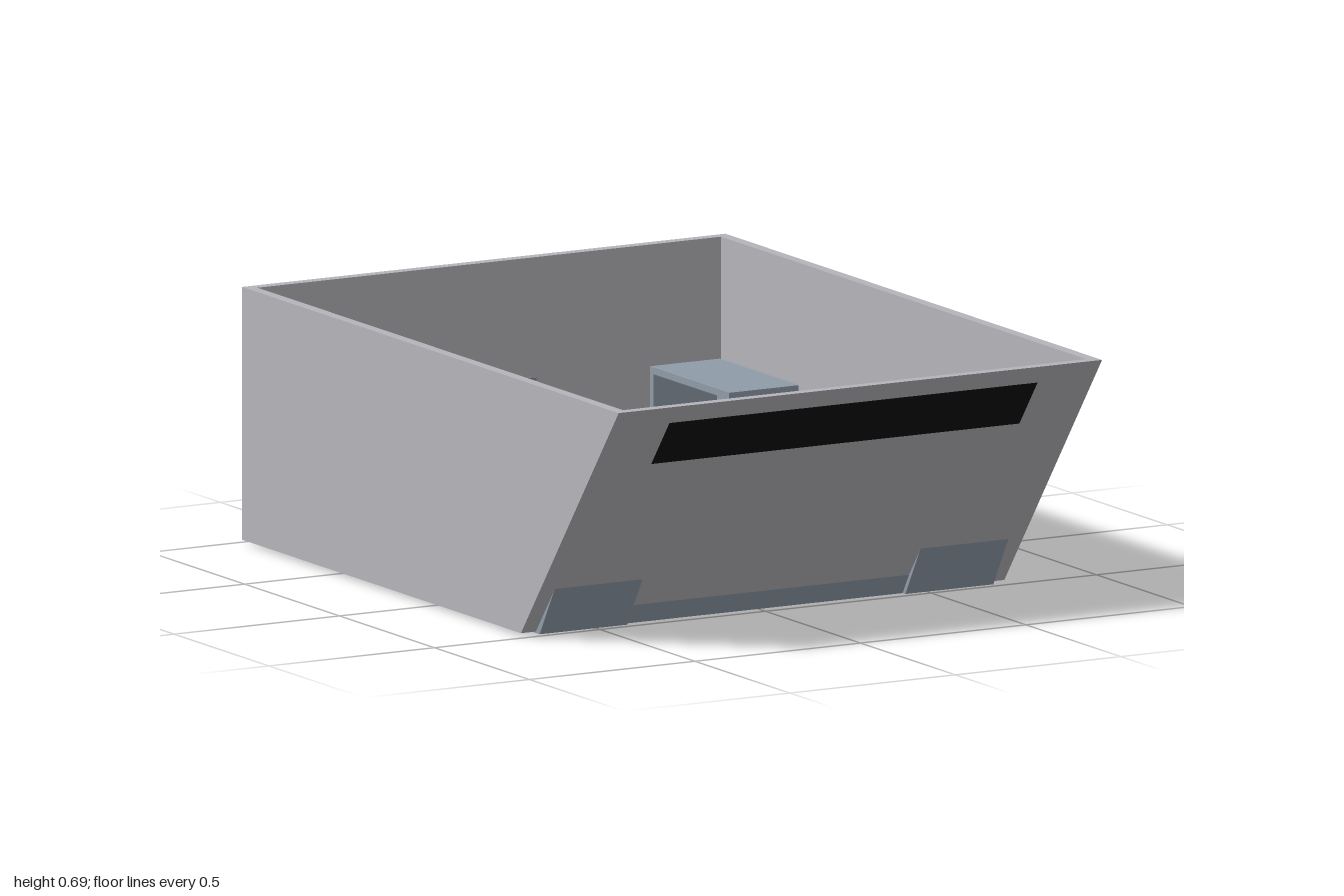
import * as THREE from 'three';
import { ConvexGeometry } from 'three/addons/geometries/ConvexGeometry.js';

const mat = (color) => new THREE.MeshStandardMaterial({ color, flatShading: true });
const WALL = mat(0xb4b4ba), LIGHT = mat(0xcccccc), DISC = mat(0xb8b8cc), DOOR = mat(0x8a8a8e);
const CONSOLE = mat(0x8f9ba8), BLACK = mat(0x0a0a0a), BLUE = mat(0x56a8e4), TEAL = mat(0x6aa8a8), BROWN = mat(0x7d6038);
const GOLD = new THREE.MeshStandardMaterial({ color: 0xc8b040 });
const FLOOR = 0.03;

function add(parent, name, geometry, material, x = 0, y = 0, z = 0) {
  const mesh = new THREE.Mesh(geometry, material);
  mesh.name = name;
  mesh.position.set(x, y, z);
  parent.add(mesh);
  return mesh;
}

function group(parent, name) {
  const g = new THREE.Group();
  g.name = name;
  parent.add(g);
  return g;
}

// box given by its limits on each axis
function block(parent, name, m, x0, x1, y0, y1, z0, z1) {
  return add(parent, name, new THREE.BoxGeometry(x1 - x0, y1 - y0, z1 - z0), m, (x0 + x1) / 2, (y0 + y1) / 2, (z0 + z1) / 2);
}

// [z, y] outline extruded across x
function prism(parent, name, m, outline, x0, x1) {
  const shape = new THREE.Shape(outline.map(([z, y]) => new THREE.Vector2(z, y)));
  const geo = new THREE.ExtrudeGeometry(shape, { depth: x1 - x0, bevelEnabled: false });
  geo.rotateY(-Math.PI / 2);
  return add(parent, name, geo, m, x1);
}

const hull = (points, s = 1) => new ConvexGeometry(points.map(([x, y, z]) => new THREE.Vector3(x * s, y, z)));

// straight limb between two points
function rod(parent, name, m, a, b, r0, r1, sides = 6) {
  const p = new THREE.Vector3(...a), q = new THREE.Vector3(...b), d = q.clone().sub(p);
  const mesh = add(parent, name, new THREE.CylinderGeometry(r1, r0, d.length(), sides), m);
  mesh.position.copy(p).add(q).multiplyScalar(0.5);
  mesh.quaternion.setFromUnitVectors(new THREE.Vector3(0, 1, 0), d.normalize());
  return mesh;
}

// front wall slope: z of the outer face at height y
const slopeZ = (y) => 0.485 + 0.763 * (y - 0.01);

function buildRoom(root) {
  const room = group(root, 'room');
  const top = 0.685, base = 0.01, t = 0.03;
  const side = [[-0.985, base], [slopeZ(base), base], [slopeZ(top), top], [-0.985, top]];
  prism(room, 'rightWall', WALL, side, -0.73, -0.70);
  prism(room, 'leftWall', WALL, side, 0.70, 0.73);
  block(room, 'backWall', WALL, -0.70, 0.70, base, top, -0.985, -0.955);
  const slab = (y0, y1, d0, d1) => [[slopeZ(y0) + d0, y0], [slopeZ(y0) + d1, y0], [slopeZ(y1) + d1, y1], [slopeZ(y1) + d0, y1]];
  prism(room, 'frontWall', WALL, slab(base, top, -t, 0), -0.70, 0.70);
  prism(room, 'windowInside', BLACK, slab(0.375, 0.64, -t - 0.006, -t + 0.01), -0.555, 0.555);
  prism(room, 'windowOutside', BLACK, slab(0.51, 0.635, -0.01, 0.003), -0.555, 0.555);
  block(room, 'floor', WALL, -0.70, 0.70, base + 0.002, FLOOR, -0.955, 0.46);
  block(room, 'floorStrip', WALL, -0.70, 0.70, base, FLOOR + 0.003, 0.145, 0.17);
  block(room, 'door', DOOR, -0.15, 0.14, 0, 0.365, -1, -0.951);
}

function buildConsole(root) {
  const desk = group(root, 'console');
  const lo = 0.26, hi = 0.42, b = 0.006;
  // centre desk with sloping panel
  prism(desk, 'centreDesk', CONSOLE, [[0.42, b], [0.49, b], [0.745, hi], [0.585, hi], [0.42, lo]], -0.42, 0.42);
  const panelY = (z) => lo + (hi - lo) * (z - 0.42) / 0.165;
  const screen = add(desk, 'centreScreen', new THREE.BoxGeometry(0.275, 0.012, 0.17), BLACK, 0, panelY(0.515), 0.515);
  screen.rotation.x = -Math.atan2(hi - lo, 0.165);
  const button = (x, y, z, r) => add(desk, 'button', new THREE.SphereGeometry(r, 12, 8), GOLD, x, y, z);
  for (const s of [-1, 1]) {
    // side pod: outline in x and y, run along z
    const outline = [[0.42, b], [0.42, lo], [0.62, hi], [0.685, hi], [0.685, b]];
    const pod = outline.flatMap(([x, y]) => [[x, y, 0.195], [x, y, 0.42]]);
    add(desk, 'sidePod', hull(pod, s), CONSOLE);
    // corner joining pod and desk
    add(desk, 'cornerDesk', hull([
      [0.42, lo, 0.42], [0.62, hi, 0.42], [0.685, hi, 0.42], [0.42, hi, 0.585], [0.42, hi, 0.75],
      [0.685, hi, 0.75], [0.42, b, 0.42], [0.685, b, 0.42], [0.42, b, 0.505], [0.685, b, 0.505]], s), CONSOLE);
    const podY = (x) => lo + (hi - lo) * (x - 0.42) / 0.2;
    const podScreen = add(desk, 'podScreen', new THREE.BoxGeometry(0.13, 0.012, 0.175), BLACK, s * 0.545, podY(0.545), 0.307);
    podScreen.rotation.z = s * Math.atan2(hi - lo, 0.2);
    for (const z of [0.235, 0.31, 0.385]) button(s * 0.455, podY(0.455), z, 0.014);
    for (const z of [0.455, 0.52])
      for (let i = 0; i < 5; i++) button(s * (0.19 + i * 0.046), panelY(z), z, 0.015);
    for (const x of [0.288, 0.362]) button(s * x, panelY(0.553), 0.553, 0.025);
  }
}

function buildChair(root) {
  // round platform
  const base = group(root, 'chairPlatform');
  base.position.set(0.003, FLOOR, -0.19);
  const ring = [[0.235, 0], [0.285, 0], [0.285, 0.012], [0.235, 0.012], [0.235, 0]].map((p) => new THREE.Vector2(...p));
  add(base, 'platformRing', new THREE.LatheGeometry(ring, 48), LIGHT);
  add(base, 'platformDisc', new THREE.CylinderGeometry(0.235, 0.235, 0.008, 48), DISC, 0, 0.004);

  const chair = group(root, 'chair');
  chair.position.set(-0.006, FLOOR, 0);
  add(chair, 'pedestal', new THREE.CylinderGeometry(0.03, 0.05, 0.07, 12), LIGHT, 0, 0.04, -0.18);
  block(chair, 'seatBase', LIGHT, -0.1, 0.1, 0.065, 0.085, -0.28, -0.08);
  // cushion with cut front corners
  const cushion = (w, l, c, d) => new THREE.ExtrudeGeometry(new THREE.Shape([
    [-w, 0], [w, 0], [w, l - c], [w - c, l], [c - w, l], [-w, l - c]].map((p) => new THREE.Vector2(...p))), { depth: d, bevelEnabled: false });
  const seat = cushion(0.09, 0.2, 0.025, 0.035);
  seat.rotateX(Math.PI / 2);
  add(chair, 'seatCushion', seat, BLUE, 0, 0.12, -0.255);
  const lean = -0.33;
  add(chair, 'backCushion', cushion(0.085, 0.2, 0.03, 0.03), BLUE, 0, 0.105, -0.255).rotation.x = lean;
  add(chair, 'backFrame', cushion(0.108, 0.205, 0.035, 0.022), LIGHT, 0, 0.1, -0.272).rotation.x = lean;
  for (const s of [-1, 1]) {
    const x0 = s > 0 ? 0.098 : -0.124;
    prism(chair, 'armrest', LIGHT, [[-0.285, 0.165], [-0.1, 0.135], [-0.09, 0.15], [-0.12, 0.165], [-0.29, 0.2]], x0, x0 + 0.026);
    prism(chair, 'armSupport', LIGHT, [[-0.14, 0.065], [-0.115, 0.065], [-0.095, 0.14], [-0.12, 0.14]], x0, x0 + 0.02);
    prism(chair, 'rearArmSupport', LIGHT, [[-0.275, 0.065], [-0.24, 0.065], [-0.255, 0.165], [-0.285, 0.17]], x0, x0 + 0.02);
  }
}

function buildShelves(root) {
  for (const s of [-1, 1]) {
    const unit = group(root, s > 0 ? 'leftShelf' : 'rightShelf');
    const xs = s > 0 ? [0.485, 0.695] : [-0.695, -0.49];
    const [x0, x1] = xs, z0 = -0.955, z1 = -0.537, t = 0.018;
    for (const y of [FLOOR, 0.18, 0.36 - t]) block(unit, 'shelfBoard', CONSOLE, x0, x1, y, y + t, z0, z1);
    block(unit, 'shelfEnd', CONSOLE, x0, x1, FLOOR, 0.36, z0, z0 + t);
    block(unit, 'shelfEnd', CONSOLE, x0, x1, FLOOR, 0.36, z1 - t, z1);
    const back = s > 0 ? x1 - t : x0;
    block(unit, 'shelfBack', CONSOLE, back, back + t, FLOOR, 0.36, z0, z1);
  }
  block(root, 'storageBox', TEAL, -0.69, -0.555, FLOOR, 0.17, -0.40, -0.27);
}

function buildAnimal(root) {
  const dog = group(root, 'animal');
  dog.position.set(-0.415, 0, 0);
  // body from cross-sections: z, centre y, half width, half height
  const rings = [[-0.335, 0.195, 0.02, 0.025], [-0.29, 0.195, 0.037, 0.042], [-0.2, 0.195, 0.036, 0.04], [-0.13, 0.2, 0.042, 0.052], [-0.09, 0.215, 0.026, 0.035]];
  const body = rings.flatMap(([z, y, w, h]) => Array.from({ length: 8 }, (_, i) => {
    const a = (i + 0.5) * Math.PI / 4;
    return [w * Math.cos(a), y + h * Math.sin(a), z];
  }));
  add(dog, 'body', hull(body), BROWN);
  rod(dog, 'neck', BROWN, [0, 0.2, -0.145], [0, 0.255, -0.1], 0.036, 0.026);
  const head = add(dog, 'head', new THREE.IcosahedronGeometry(0.034, 1), BROWN, 0, 0.258, -0.1);
  head.scale.set(0.95, 0.95, 1.1);
  rod(dog, 'muzzle', BROWN, [0, 0.25, -0.085], [0, 0.238, -0.045], 0.022, 0.014);
  rod(dog, 'tail', BROWN, [0, 0.205, -0.325], [0, 0.165, -0.38], 0.013, 0.004);
  for (const s of [-1, 1]) {
    rod(dog, 'ear', BROWN, [s * 0.026, 0.285, -0.105], [s * 0.048, 0.24, -0.098], 0.013, 0.006, 5);
    rod(dog, 'foreleg', BROWN, [s * 0.025, 0.18, -0.135], [s * 0.025, FLOOR, -0.125], 0.02, 0.01);
    rod(dog, 'thigh', BROWN, [s * 0.024, 0.19, -0.285], [s * 0.026, 0.105, -0.3], 0.028, 0.014);
    rod(dog, 'hindShank', BROWN, [s * 0.026, 0.11, -0.302], [s * 0.026, FLOOR, -0.285], 0.014, 0.01);
    for (const z of [-0.118, -0.275]) block(dog, 'paw', BROWN, s * 0.026 - 0.012, s * 0.026 + 0.012, FLOOR, FLOOR + 0.016, z - 0.02, z + 0.02);
  }
}

export function createModel() {
  const root = new THREE.Group();
  root.name = 'controlRoom';
  buildRoom(root);
  buildConsole(root);
  buildChair(root);
  buildShelves(root);
  buildAnimal(root);
  return root;
}
